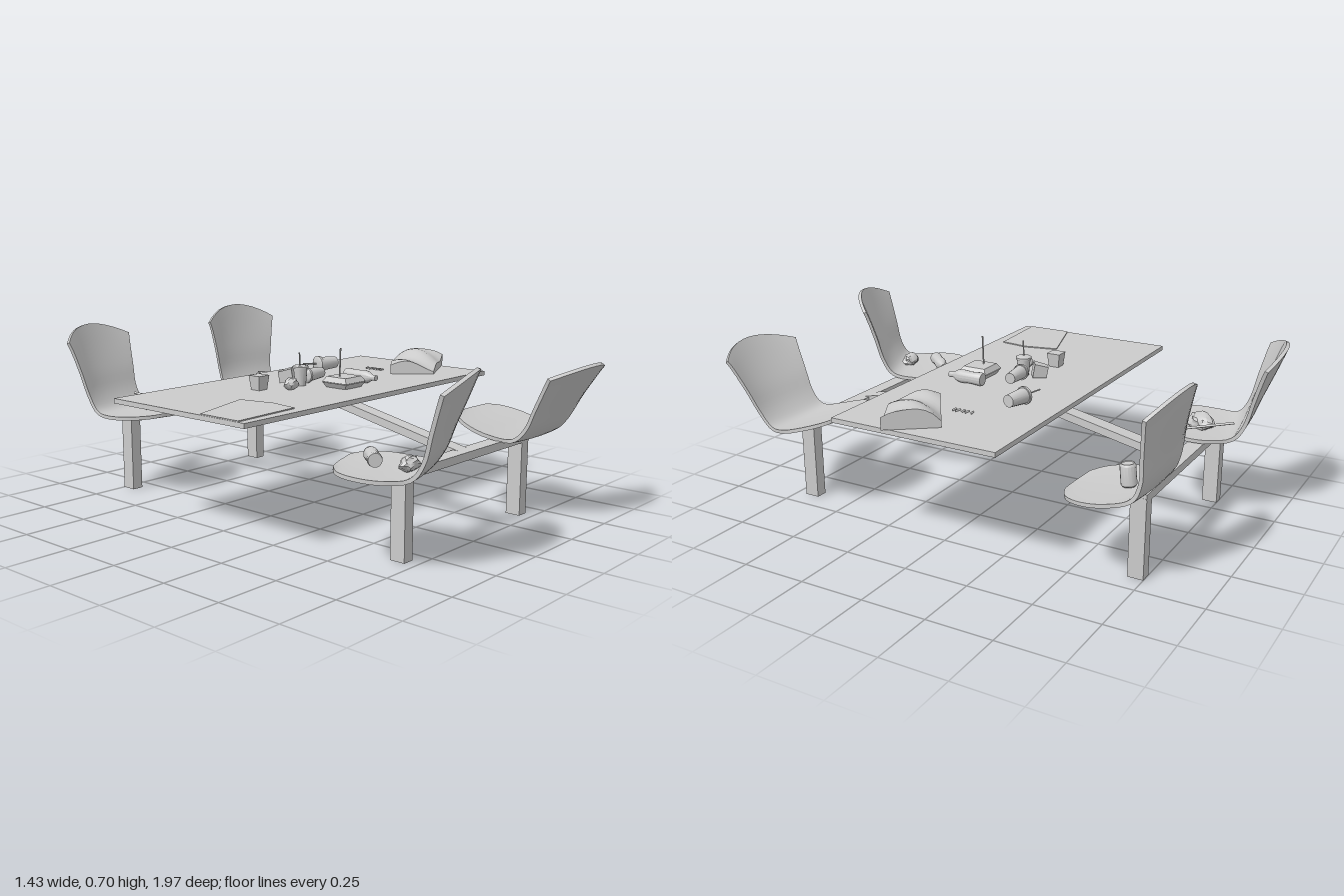
import * as THREE from 'three';
import { toCreasedNormals } from 'three/addons/utils/BufferGeometryUtils.js';

const mat = new THREE.MeshStandardMaterial({ color: 0xcccccc });

function add(parent, name, geo, pos = [0, 0, 0], rot = [0, 0, 0]) {
  const m = new THREE.Mesh(geo, mat);
  m.name = name;
  m.position.set(...pos);
  m.rotation.set(rot[0], rot[1], rot[2], 'YXZ');
  parent.add(m);
  return m;
}

// Joins equal-length closed rings into a solid with strip caps
function loft(rings) {
  const n = rings[0].length, idx = [];
  const quad = (a, b, c, d) => idx.push(a, b, c, a, c, d);
  for (let i = 0; i < rings.length - 1; i++)
    for (let j = 0; j < n; j++) {
      const k = (j + 1) % n;
      quad(i * n + j, i * n + k, (i + 1) * n + k, (i + 1) * n + j);
    }
  const e = (rings.length - 1) * n;
  for (let j = 0; j < n / 2 - 1; j++) {
    quad(j, n - 1 - j, n - 2 - j, j + 1);
    quad(e + j, e + j + 1, e + n - 2 - j, e + n - 1 - j);
  }
  const g = new THREE.BufferGeometry();
  g.setAttribute('position', new THREE.Float32BufferAttribute(rings.flat(2), 3));
  g.setIndex(idx);
  return toCreasedNormals(g, 0.7);
}

// One-piece shell: each point is half width, height, depth, from front lip to top of back
function chairGeometry() {
  const curve = new THREE.CatmullRomCurve3([
    [0.09, 0.012, 0.225], [0.155, 0.008, 0.18], [0.19, 0.004, 0.1], [0.185, 0, 0.02],
    [0.157, 0.008, -0.06], [0.153, 0.06, -0.105], [0.165, 0.15, -0.143],
    [0.18, 0.25, -0.185], [0.195, 0.345, -0.222],
  ].map(p => new THREE.Vector3(...p)));
  const rings = [], nu = 12, nv = 32;
  for (let i = 0; i <= nv; i++) {
    const v = i / nv, top = [], bottom = [];
    const w = curve.getPoint(v).x;
    for (let j = 0; j <= nu; j++) {
      const u = (j / nu) * 2 - 1;
      // the top edge arches and the front lip rounds off
      const t = v - 0.09 * u * u * v ** 6 + 0.03 * u * u * (1 - v) ** 12;
      const p = curve.getPoint(t), d = curve.getTangent(t);
      const l = Math.hypot(d.y, d.z), ny = -d.z / l, nz = d.y / l;
      const dish = u * u * (0.006 + 0.034 * THREE.MathUtils.smoothstep(v, 0.5, 1));
      top.push([u * w, p.y + ny * dish, p.z + nz * dish]);
      bottom.unshift([u * w, p.y + ny * (dish - 0.014), p.z + nz * (dish - 0.014)]);
    }
    rings.push([...top, ...bottom]);
  }
  return loft(rings);
}

// Square bar between two points
function bar(parent, name, a, b, w, h) {
  const A = new THREE.Vector3(...a), B = new THREE.Vector3(...b);
  const m = add(parent, name, new THREE.BoxGeometry(w, h, A.distanceTo(B)));
  m.position.copy(A).add(B).multiplyScalar(0.5);
  m.lookAt(B);
}

function stick(parent, name, a, b, r = 0.003) {
  const path = new THREE.LineCurve3(new THREE.Vector3(...a), new THREE.Vector3(...b));
  add(parent, name, new THREE.TubeGeometry(path, 1, r, 6));
}

function lathe(points, sides = 16) {
  return toCreasedNormals(new THREE.LatheGeometry(points.map(p => new THREE.Vector2(...p)), sides), 0.6);
}

// Rounded lump with a creased surface
function lump(sx, sy, sz, amount = 0.15) {
  const g = new THREE.IcosahedronGeometry(1, 2), p = g.attributes.position;
  for (let i = 0; i < p.count; i++) {
    const x = p.getX(i), y = p.getY(i), z = p.getZ(i);
    const k = 1 + amount * Math.sin(5 * x + 2 * z) * Math.cos(4 * y - 3 * z);
    p.setXYZ(i, x * k * sx, y * k * sy, z * k * sz);
  }
  g.computeVertexNormals();
  return toCreasedNormals(g, 0.6);
}

// Pillow-like bag, thin at its edges and fuller towards +x
function bagGeometry() {
  const g = new THREE.BoxGeometry(0.26, 1, 0.19, 10, 1, 8), p = g.attributes.position;
  for (let i = 0; i < p.count; i++) {
    const x = p.getX(i), z = p.getZ(i), a = x / 0.13, b = z / 0.095;
    const h = 0.03 + 0.048 * (1 - b * b) * (0.65 + 0.35 * a) + 0.008 * Math.sin(4 * a + 3 * b);
    p.setXYZ(i, x + 0.012 * b, p.getY(i) > 0 ? h + 0.012 * a * b : 0.001, z * (1 + 0.08 * a));
  }
  return toCreasedNormals(g, 0.5);
}

export function createModel() {
  const root = new THREE.Group();
  root.name = 'canteenTable';
  const cx = 0.035, cz = -0.02, Y = 0.48;

  // Table top and supporting frame
  add(root, 'tableTop', new THREE.BoxGeometry(1.415, 0.018, 0.665), [-0.007, 0.471, -0.002]);
  add(root, 'topSupport', new THREE.BoxGeometry(0.71, 0.035, 0.08), [cx, 0.446, cz]);
  for (const s of [1, -1]) {
    const z = cz + s * 0.7;
    add(root, 'crossBar', new THREE.BoxGeometry(0.777, 0.03, 0.06), [cx, 0.3, z]);
    bar(root, 'slopingArm', [cx, 0.3, z - s * 0.01], [cx, 0.44, cz + s * 0.02], 0.062, 0.03);
    for (const x of [-0.33, 0.401])
      add(root, 'leg', new THREE.BoxGeometry(0.046, 0.3, 0.059), [x, 0.15, z]);
  }

  // Chairs: x, z, yaw, tilt
  const shell = chairGeometry();
  for (const [x, z, yaw, tilt] of [
    [0.403, 0.68, Math.PI, -0.227], [-0.367, 0.715, Math.PI + 0.37, 0],
    [0.4, -0.695, -0.04, 0.175], [-0.297, -0.745, 0.24, 0],
  ]) add(root, 'chair', shell, [x, 0.325, z], [tilt, yaw, 0]);

  // Shared tableware shapes
  const cup = lathe([[0, 0], [0.021, 0], [0.027, 0.066], [0.031, 0.066], [0.031, 0.074], [0.024, 0.078], [0, 0.078]]);
  const bottle = lathe([[0, 0], [0.024, 0], [0.026, 0.01], [0.023, 0.05], [0.026, 0.09],
    [0.022, 0.11], [0.011, 0.128], [0.011, 0.148], [0, 0.148]]);
  const carton = new THREE.CylinderGeometry(0.039, 0.03, 0.055, 4);
  carton.rotateY(Math.PI / 4);
  const cartonGeo = toCreasedNormals(carton, 0.3);

  // Cups and straws
  add(root, 'standingCup', cup, [-0.063, Y, -0.015]);
  stick(root, 'straw', [-0.066, Y + 0.07, -0.015], [-0.085, 0.612, 0]);
  add(root, 'fallenCup', cup, [0.32, Y + 0.031, -0.165], [0, -0.2, Math.PI / 2]).scale.set(1.1, 1.25, 1.1);
  stick(root, 'straw', [0.225, 0.513, -0.187], [0.165, 0.518, -0.21]);
  add(root, 'fallenCup', cup, [0.085, Y + 0.03, -0.038], [0, 0.05, Math.PI / 2]).scale.y = 1.35;

  // Cartons
  add(root, 'carton', cartonGeo, [-0.237, Y + 0.0275, -0.068]);
  add(root, 'fallenCarton', cartonGeo, [-0.065, Y + 0.03, -0.087], [1.4, 0.6, 0]);
  add(root, 'crumpledPaper', lump(0.03, 0.024, 0.026), [-0.157, Y + 0.023, 0.023]);

  // Food box: tray and lid of two flared halves
  const half = new THREE.CylinderGeometry(0.084, 0.066, 0.02, 4);
  half.rotateY(Math.PI / 4);
  const halfGeo = toCreasedNormals(half, 0.3);
  add(root, 'foodBoxBase', halfGeo, [0.02, Y + 0.01, 0.134]);
  add(root, 'foodBoxLid', halfGeo, [0.02, Y + 0.032, 0.134], [Math.PI, 0, 0]);
  stick(root, 'fork', [0.002, 0.52, 0.128], [-0.002, 0.632, 0.135]);

  // Bottles
  add(root, 'bottle', bottle, [0.136, Y + 0.026, 0.052], [Math.PI / 2, 0, 0]);
  add(root, 'seatBottle', bottle, [-0.432, 0.357, 0.645], [Math.PI / 2, 2.4, 0]);

  // Bag, loose sticks and sheet on the table
  add(root, 'paperBag', bagGeometry(), [0.545, Y, 0.087], [0, 0.53, 0]);
  for (let i = 0; i < 5; i++)
    stick(root, 'fry', [0.412, Y + 0.004, -0.075 + i * 0.018], [0.438, Y + 0.004, -0.078 + i * 0.019 + (i % 2) * 0.006], 0.004);
  const sheet = new THREE.Shape([[-0.712, -0.12], [-0.44, -0.035], [-0.41, -0.17], [-0.425, -0.285], [-0.712, -0.3]]
    .map(p => new THREE.Vector2(...p)));
  add(root, 'paperSheet', new THREE.ExtrudeGeometry(sheet, { depth: 0.004, bevelEnabled: false }), [0, Y, 0], [-Math.PI / 2, 0, 0]);

  // Litter on the seats
  add(root, 'crushedCan', lump(0.045, 0.026, 0.03, 0.2), [-0.372, 0.352, 0.738], [0, 0.1, 0]);
  add(root, 'crumpledWrapper', lump(0.045, 0.032, 0.055, 0.2), [-0.245, 0.352, -0.69], [0, -0.5, 0]);
  stick(root, 'seatStraw', [-0.222, 0.375, -0.825], [-0.137, 0.34, -0.622], 0.005);
  const can = lathe([[0, 0], [0.022, 0], [0.028, 0.006], [0.028, 0.074], [0.023, 0.082], [0.021, 0.079], [0, 0.079]]);
  add(root, 'can', can, [0.4, 0.324, -0.675], [0.1, 0, 0]);

  return root;
}
